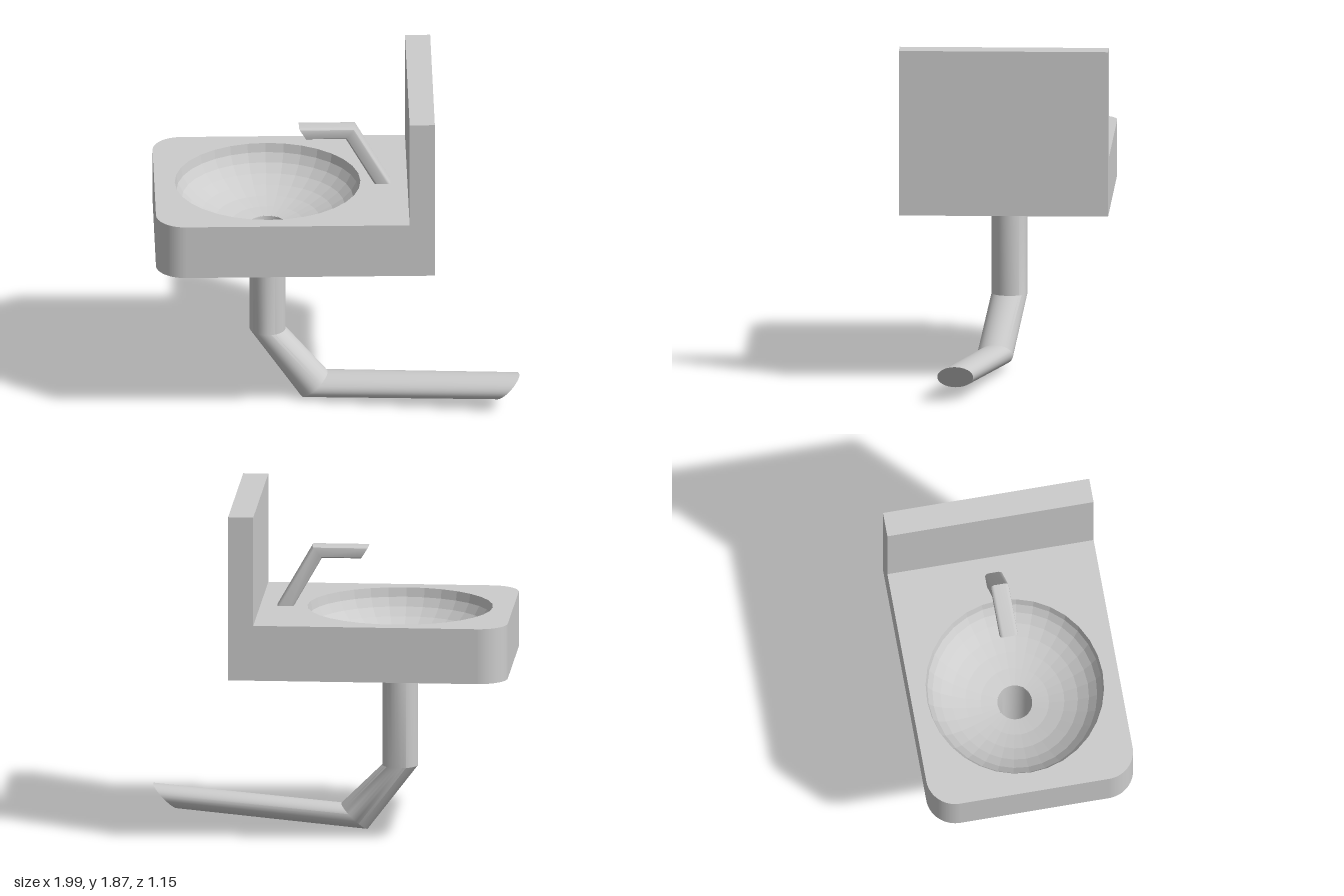
import * as THREE from 'three';
import { toCreasedNormals } from 'three/addons/utils/BufferGeometryUtils.js';

const ceramic = new THREE.MeshStandardMaterial({ color: 0xcccccc, side: THREE.DoubleSide });
ceramic.name = 'light grey ceramic';

const TOP = 1.262, BOTTOM = 0.955, HALF_Z = 0.573, BACK = 0.523;
const BOWL_X = -0.38, BOWL_R = 0.508, BOWL_SCALE_Z = 0.96, PIPE_R = 0.0985;

// Joins rings given as [centre, u, w]; profile points (a, b) sit at centre + a*u + b*w
function sweep(profile, rings) {
  const n = profile.length, pos = [], index = [];
  for (const [c, u, w] of rings) {
    for (const p of profile) for (let k = 0; k < 3; k++) pos.push(c[k] + p.x * u[k] + p.y * w[k]);
  }
  for (let i = 0; i < rings.length - 1; i++) {
    for (let j = 0; j < n; j++) {
      const a = i * n + j, b = i * n + (j + 1) % n;
      index.push(a, b, a + n, b, b + n, a + n);
    }
  }
  // flat cap on the last ring
  const last = (rings.length - 1) * n;
  pos.push(...rings[rings.length - 1][0]);
  for (let j = 0; j < n; j++) index.push(rings.length * n, last + j, last + (j + 1) % n);
  const g = new THREE.BufferGeometry();
  g.setAttribute('position', new THREE.Float32BufferAttribute(pos, 3));
  g.setIndex(index);
  return toCreasedNormals(g, 0.45);
}

// Slab with two rounded corners and one elliptical hole, from y0 to y1
function slab(y0, y1, rx, rz) {
  const r = 0.16, s = new THREE.Shape();
  s.moveTo(BACK, -HALF_Z);
  s.lineTo(BACK, HALF_Z);
  s.lineTo(-1 + r, HALF_Z);
  s.absarc(-1 + r, HALF_Z - r, r, Math.PI / 2, Math.PI, false);
  s.absarc(-1 + r, -HALF_Z + r, r, Math.PI, Math.PI * 1.5, false);
  s.closePath();
  s.holes.push(new THREE.Path().absellipse(BOWL_X, 0, rx, rz, 0, Math.PI * 2, true));
  const g = new THREE.ExtrudeGeometry(s, { depth: y1 - y0, bevelEnabled: false, curveSegments: 16 });
  return g.rotateX(-Math.PI / 2).translate(0, y0, 0);
}

export function createModel() {
  const model = new THREE.Group();
  model.name = 'washbasin';
  const add = (name, geometry) => {
    const mesh = new THREE.Mesh(geometry, ceramic);
    mesh.name = name;
    model.add(mesh);
    return mesh;
  };

  // Basin body: thin floor with the drain hole, thick rim with the bowl opening
  add('basinFloor', slab(BOTTOM, BOTTOM + 0.01, PIPE_R, PIPE_R));
  add('basinBody', slab(BOTTOM + 0.01, TOP, BOWL_R, BOWL_R * BOWL_SCALE_Z));

  // Faceted bowl, open at the drain
  const profile = [];
  for (let k = 1; k <= 8; k++) {
    const t = k * Math.PI / 16;
    profile.push(new THREE.Vector2(BOWL_R * Math.sin(t), TOP - 0.26 * Math.cos(t)));
  }
  const bowl = new THREE.LatheGeometry(profile, 32).scale(1, 1, BOWL_SCALE_Z).toNonIndexed();
  bowl.computeVertexNormals();
  add('bowl', bowl).position.x = BOWL_X;

  // Backsplash
  add('backsplash', new THREE.BoxGeometry(0.138, 1.868 - TOP, HALF_Z * 2)
    .translate(BACK - 0.069, (1.868 + TOP) / 2, 0));

  // Drain pipe: open at the top, two mitred bends, closed slanted end
  const circle = Array.from({ length: 32 }, (_, i) =>
    new THREE.Vector2(Math.cos(i * Math.PI / 16), Math.sin(i * Math.PI / 16)));
  const side = [0, 0, PIPE_R];
  add('drainPipe', sweep(circle, [
    [[BOWL_X, 1.008, 0], [PIPE_R, 0, 0], side],
    [[BOWL_X, 0.375, 0], [PIPE_R, 0, 0], side],
    [[-0.125, 0.07, 0.07], [0.073, 0.07, 0], side],
    [[0.927, 0.128, 0.249], [0.066, 0.067, 0], side],
  ]));

  // Tap: rounded-rectangle section, sloping neck and level spout
  const c = 0.6, rounded = [];
  for (const [sx, sy, start] of [[1, 1, 0], [-1, 1, 1], [-1, -1, 2], [1, -1, 3]]) {
    for (let i = 0; i <= 4; i++) {
      const a = (start + i / 4) * Math.PI / 2;
      rounded.push(new THREE.Vector2(sx * c + (1 - c) * Math.cos(a), sy * c + (1 - c) * Math.sin(a)));
    }
  }
  const across = [0, 0, -0.049];
  add('tap', sweep(rounded, [
    [[0.25, TOP - 0.005, 0], [0.046, 0, 0], across],
    [[0.073, 1.566, 0], [0.026, 0.034, 0], across],
    [[-0.188, 1.566, 0], [-0.021, 0.034, 0], across],
  ]));

  return model;
}
